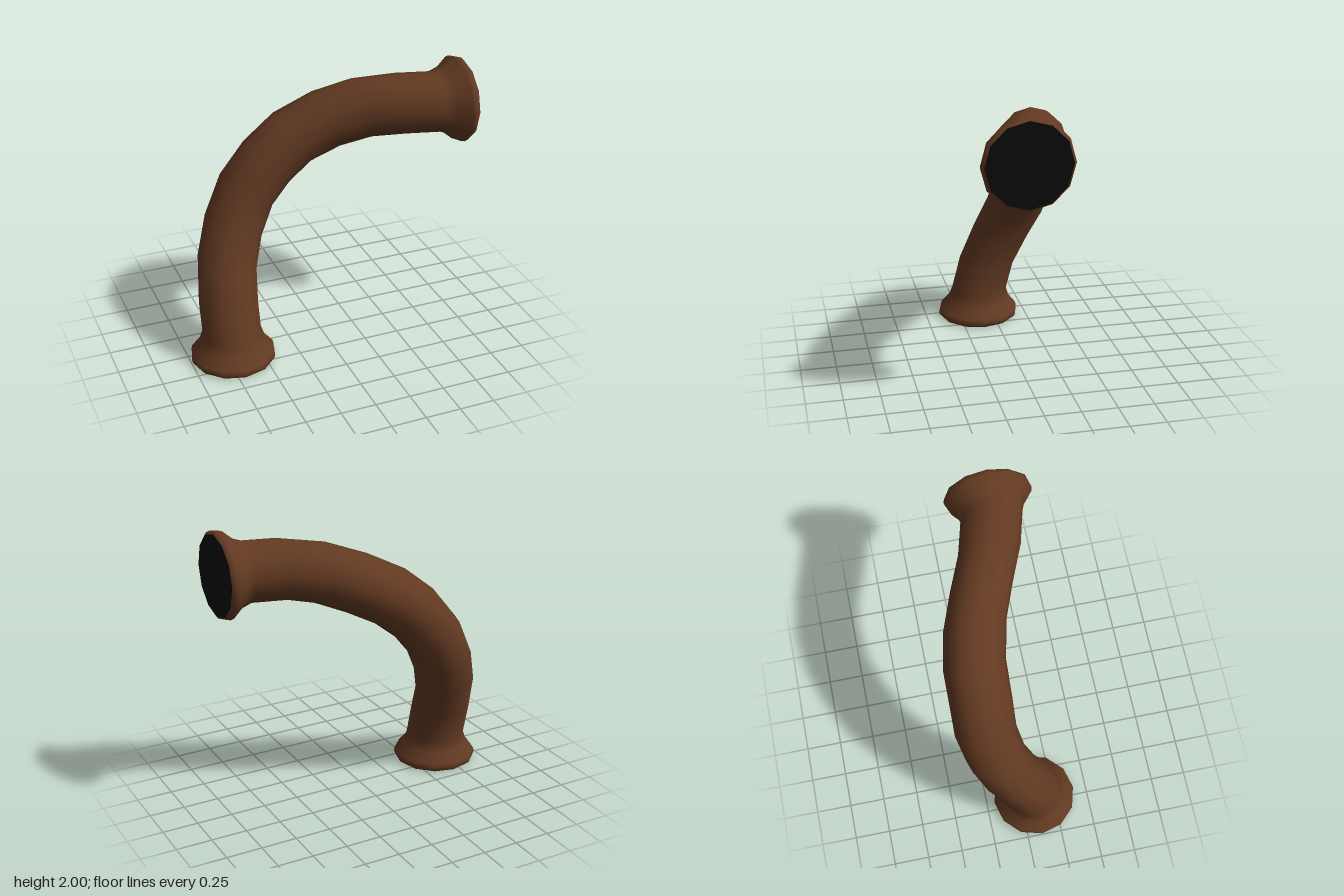
import * as THREE from 'three';

const SIDES = 12;
const END_Z = 0.105;

// Half of the bend: [x, y, z, tilt in degrees, radius]; the other half mirrors it
const HALF = [
  [-0.7, 0, END_Z, 0, 0.28],
  [-0.7, 0.012, END_Z, 0, 0.294],
  [-0.7, 0.035, END_Z, 0, 0.3],
  [-0.7, 0.06, END_Z, 0, 0.294],
  [-0.7, 0.13, 0.1, 0, 0.235],
  [-0.7, 0.2, 0.097, 0, 0.21],
  [-0.7, 0.43, 0.037, 0, 0.21],
  [-0.667, 0.67, -0.065, 11, 0.21],
  [-0.585, 0.895, -0.155, 21, 0.21],
  [-0.468, 1.125, -0.203, 33, 0.21],
];
const MIDDLE = [-0.315, 1.315, -0.203, 45, 0.21];

// Swapping the two legs of the bend maps (x, y) to (1 - y, 1 - x)
const mirrored = HALF.map(([x, y, z, t, r]) => [1 - y, 1 - x, z, 90 - t, r]).reverse();
const SECTIONS = [...HALF, MIDDLE, ...mirrored];

// Skin rings that turn only in the xy plane, so the sideways sway is a shear
function sweptTube(sections) {
  const pos = [], index = [];
  sections.forEach(([x, y, z, tilt, r], i) => {
    const t = THREE.MathUtils.degToRad(tilt);
    for (let j = 0; j < SIDES; j++) {
      const a = (j / SIDES) * Math.PI * 2;
      const out = r * Math.cos(a);
      pos.push(x - out * Math.cos(t), y + out * Math.sin(t), z + r * Math.sin(a));
      if (i < sections.length - 1) {
        const k = (j + 1) % SIDES;
        const p = i * SIDES + j, q = i * SIDES + k;
        index.push(p, q, q + SIDES, p, q + SIDES, p + SIDES);
      }
    }
  });
  const geo = new THREE.BufferGeometry();
  geo.setAttribute('position', new THREE.Float32BufferAttribute(pos, 3));
  geo.setIndex(index);
  geo.computeVertexNormals();
  return geo;
}

export function createModel() {
  const group = new THREE.Group();
  group.name = 'bentPipe';
  const brown = new THREE.MeshStandardMaterial({ color: 0x633a22, side: THREE.DoubleSide });
  const black = new THREE.MeshStandardMaterial({ color: 0x0a0a0a });

  // Pipe with a flared lip at each end
  const pipe = new THREE.Mesh(sweptTube(SECTIONS), brown);
  pipe.name = 'flaredPipe';
  group.add(pipe);

  // Dark discs filling both mouths
  const disc = new THREE.CircleGeometry(0.28, SIDES);
  const bottom = new THREE.Mesh(disc, black);
  bottom.name = 'bottomOpening';
  bottom.rotation.x = Math.PI / 2;
  bottom.position.set(-0.7, 0, END_Z);
  const side = new THREE.Mesh(disc, black);
  side.name = 'sideOpening';
  side.rotation.y = Math.PI / 2;
  side.position.set(1, 1.7, END_Z);
  group.add(bottom, side);

  return group;
}
